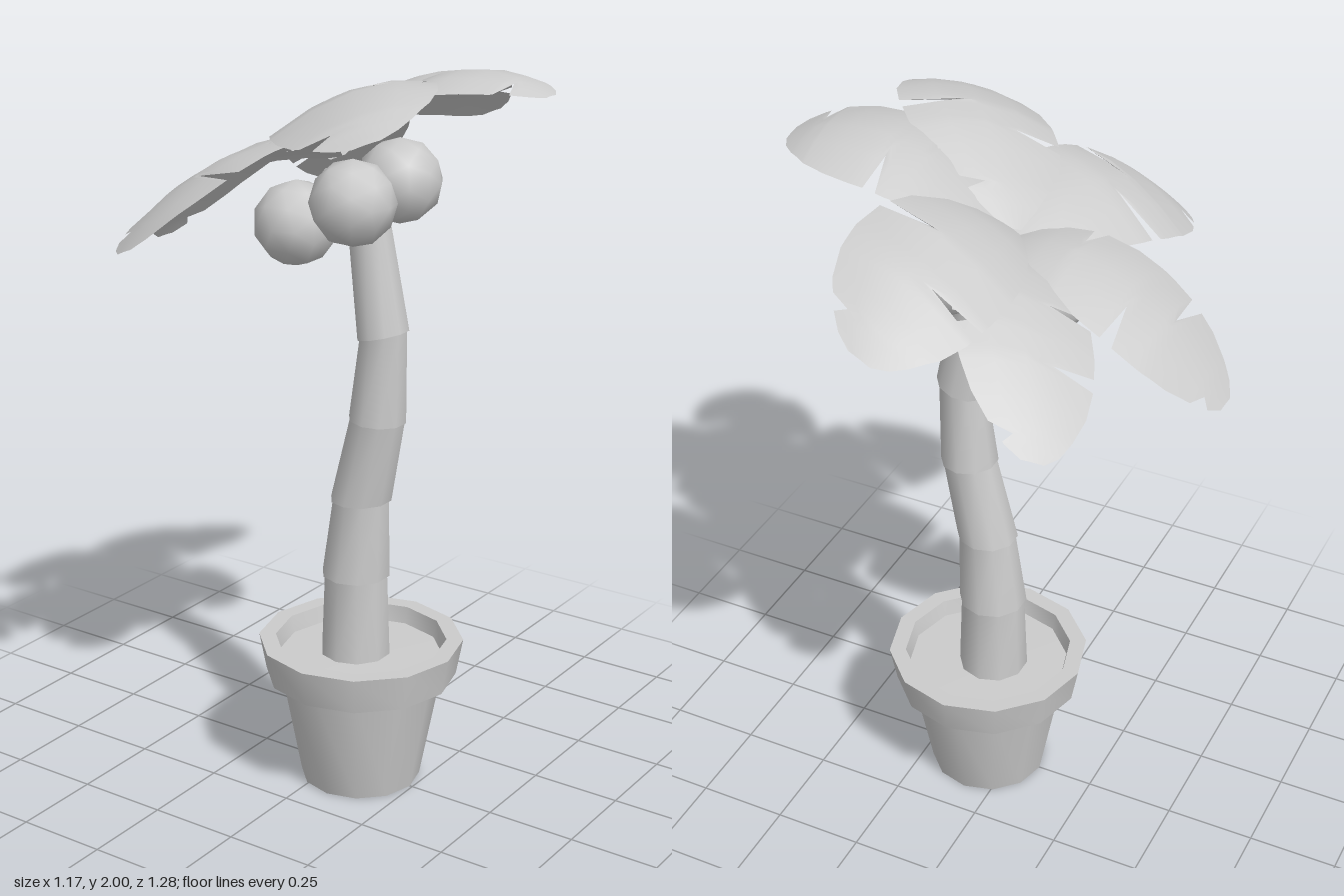
import * as THREE from 'three';
import { toCreasedNormals } from 'three/addons/utils/BufferGeometryUtils.js';

const grey = new THREE.MeshStandardMaterial({ color: 0xcccccc });
const leafGrey = new THREE.MeshStandardMaterial({ color: 0xcccccc, side: THREE.DoubleSide });

function mesh(name, geometry, material = grey) {
  const m = new THREE.Mesh(geometry, material);
  m.name = name;
  return m;
}

function lathe(points, sides) {
  const g = new THREE.LatheGeometry(points.map(([r, y]) => new THREE.Vector2(r, y)), sides);
  return toCreasedNormals(g, 0.65);
}

// One trunk piece: a tapered cylinder sheared between two tilted rings
function trunkSegment(a, b) {
  const g = new THREE.CylinderGeometry(b.r, a.r, 1, 10, 1);
  const p = g.attributes.position;
  for (let i = 0; i < p.count; i++) {
    const end = p.getY(i) > 0 ? b : a;
    p.setXYZ(i, p.getX(i) + end.x, end.y + end.tilt * p.getX(i), p.getZ(i));
  }
  return toCreasedNormals(g, 0.75);
}

// Half-width of a leaf along its length, as [fraction of length, width]
const WIDTHS = [[0, 0.02], [0.08, 0.07], [0.17, 0.115], [0.3, 0.162], [0.45, 0.182], [0.6, 0.185],
  [0.72, 0.175], [0.83, 0.148], [0.92, 0.105], [0.97, 0.07], [1, 0.03]];

function leafWidth(t) {
  const i = Math.max(1, WIDTHS.findIndex(([s]) => s >= t));
  const [t0, w0] = WIDTHS[i - 1], [t1, w1] = WIDTHS[i];
  return w0 + (w1 - w0) * (t - t0) / (t1 - t0);
}

// Arched leaf; each notch is [distance from base, side, depth it leaves]
function leafGeometry({ angle, length, width = 1, lift, notches }) {
  const gap = 0.016;
  const rows = WIDTHS.map(([t]) => ({ u: t * length }))
    .filter(({ u }) => notches.every(([n]) => Math.abs(u - n) > gap * 1.3));
  for (const [u, side, keep] of notches) {
    rows.push({ u: u - gap }, { u, side, keep }, { u: Math.min(u + gap, length) });
  }
  rows.sort((a, b) => a.u - b.u);

  const c = Math.cos(angle), s = Math.sin(angle);
  const pos = [], index = [];
  rows.forEach(({ u, side, keep }, i) => {
    const t = u / length, w = leafWidth(t) * width;
    for (let j = -2; j <= 2; j++) {
      const v = w * j / 2 * (Math.sign(j) === side ? keep : 1);
      const x = c * u - s * v, z = s * u + c * v;
      // The whole crown leans, each leaf rises then droops
      const y = 1.76 + lift + 0.43 * x + 0.44 * t - 0.5 * t * t - 1.2 * v * v;
      pos.push(x, y, z);
    }
    if (i === 0) return;
    for (let j = 0; j < 4; j++) {
      const a = (i - 1) * 5 + j, b = a + 5;
      index.push(a, a + 1, b, a + 1, b + 1, b);
    }
  });
  const g = new THREE.BufferGeometry();
  g.setAttribute('position', new THREE.Float32BufferAttribute(pos, 3));
  g.setIndex(index);
  g.computeVertexNormals();
  return g;
}

export function createModel() {
  const model = new THREE.Group();
  model.name = 'pottedPalm';

  // Pot with a thick flared rim, and soil inside
  const pot = new THREE.Group();
  pot.name = 'pot';
  pot.position.x = 0.077;
  pot.add(mesh('potBody', lathe([[0, 0], [0.165, 0], [0.225, 0.32]], 12)));
  pot.add(mesh('potRim', lathe([[0.215, 0.3], [0.262, 0.31], [0.281, 0.412], [0.235, 0.412], [0.222, 0.35]], 12)));
  pot.add(mesh('soil', lathe([[0.23, 0.365], [0, 0.37]], 12)));
  model.add(pot);

  // Trunk of five stacked pieces, each flaring a little at its foot
  const trunk = new THREE.Group();
  trunk.name = 'trunk';
  const joints = [
    { x: 0.06, y: 0.36, bottom: 0.097, top: 0.097, tilt: 0 },
    { x: 0.06, y: 0.6, bottom: 0.094, top: 0.088, tilt: 0 },
    { x: 0.076, y: 0.82, bottom: 0.084, top: 0.078, tilt: 0.03 },
    { x: 0.127, y: 1.055, bottom: 0.078, top: 0.074, tilt: -0.05 },
    { x: 0.143, y: 1.29, bottom: 0.07, top: 0.064, tilt: 0.25 },
    { x: 0.075, y: 1.72, bottom: 0.05, top: 0.05, tilt: 0.3 },
  ];
  for (let i = 0; i < joints.length - 1; i++) {
    const a = joints[i], b = joints[i + 1];
    trunk.add(mesh('trunkSegment' + (i + 1), trunkSegment({ ...a, r: a.bottom }, { ...b, r: b.top })));
  }
  model.add(trunk);

  // Coconuts clustered under the crown
  const nuts = new THREE.Group();
  nuts.name = 'coconuts';
  const nutGeometry = new THREE.IcosahedronGeometry(0.113, 1);
  [[0.115, 1.655, 0.1], [0.135, 1.68, -0.085], [-0.06, 1.58, 0.1], [-0.05, 1.585, -0.125]].forEach((p, i) => {
    const nut = mesh('coconut' + (i + 1), nutGeometry);
    nut.position.set(...p);
    nut.rotation.y = i * 0.8;
    nuts.add(nut);
  });
  model.add(nuts);

  // Crown of six notched leaves
  const crown = new THREE.Group();
  crown.name = 'crown';
  const leaves = [
    { angle: -0.1, length: 0.585, lift: 0, notches: [[0.3, -1, 0.4], [0.22, 1, 0.4], [0.51, 1, 0.4]] },
    { angle: -1.45, length: 0.645, lift: 0.03, notches: [[0.43, -1, 0.3], [0.28, 1, 0.2], [0.58, 1, 0.65]] },
    { angle: -2.09, length: 0.64, width: 0.9, lift: -0.02, notches: [[0.45, -1, 0.4], [0.29, -1, 0.4], [0.37, 1, 0.5], [0.6, 1, 0.5]] },
    { angle: Math.PI + 0.02, length: 0.585, lift: 0, notches: [[0.34, 1, 0.35], [0.55, 1, 0.6], [0.43, -1, 0.2], [0.17, -1, 0.4]] },
    { angle: 1.87, length: 0.655, width: 0.95, lift: -0.02, notches: [[0.35, 1, 0.25], [0.45, -1, 0.15], [0.59, 1, 0.6]] },
    { angle: 0.86, length: 0.6, width: 1.08, lift: 0.03, notches: [[0.25, 1, 0.4], [0.34, -1, 0.2], [0.09, -1, 0.4], [0.53, 1, 0.55]] },
  ];
  leaves.forEach((leaf, i) => crown.add(mesh('leaf' + (i + 1), leafGeometry(leaf), leafGrey)));
  model.add(crown);

  return model;
}
